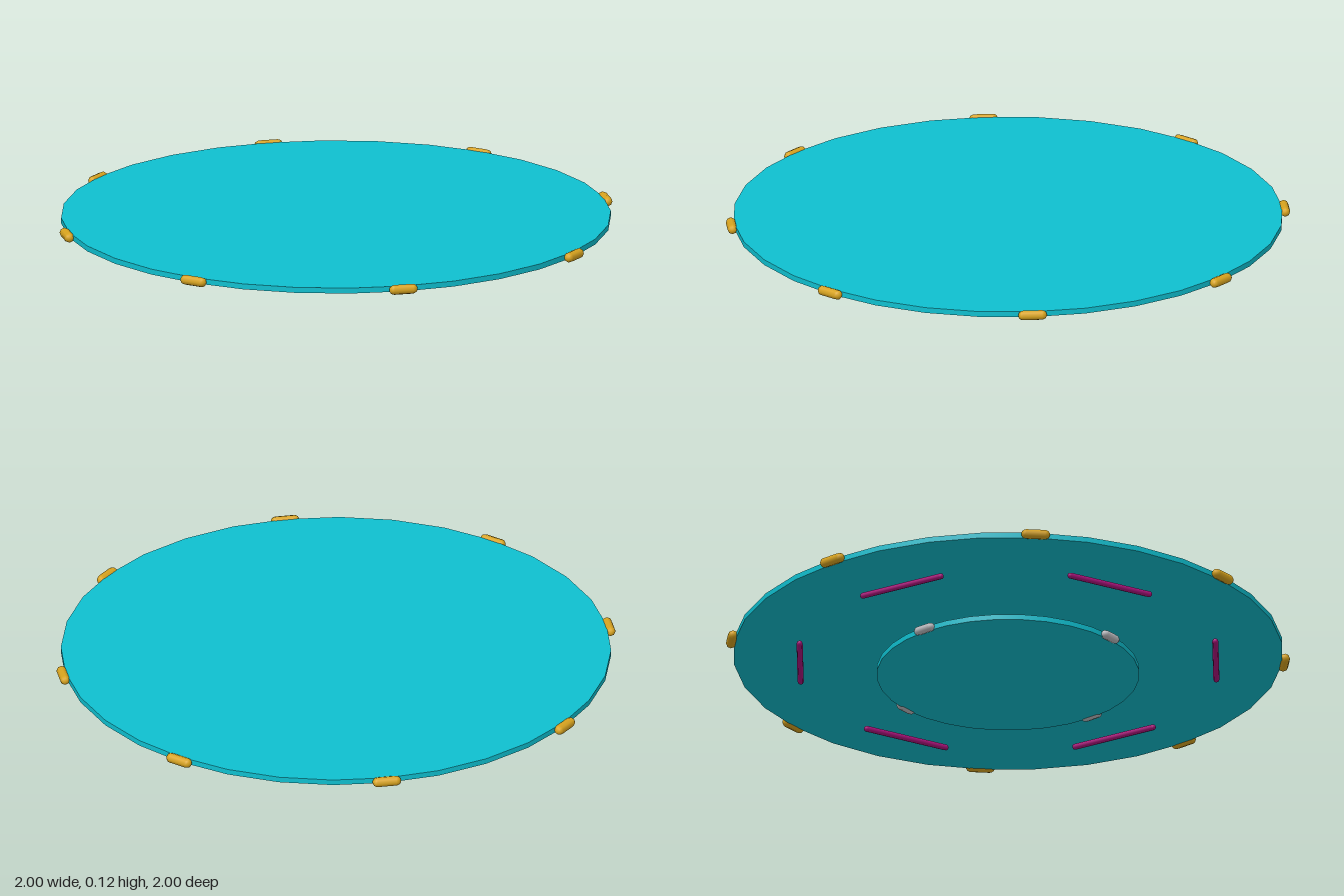
import * as THREE from 'three';

export function createModel() {
  const model = new THREE.Group();
  model.name = 'tieredDisc';

  const mat = (name, color) => {
    const m = new THREE.MeshStandardMaterial({ color });
    m.name = name;
    return m;
  };
  const teal = mat('teal', 0x0fc0d0);
  const gold = mat('gold', 0xdaa520);
  const purple = mat('purple', 0xae147e);
  const silver = mat('silver', 0xc0c0c4);

  // Flat round plate
  function disc(name, radius, thickness, y) {
    const mesh = new THREE.Mesh(new THREE.CylinderGeometry(radius, radius, thickness, 32), teal);
    mesh.name = name;
    mesh.position.y = y;
    model.add(mesh);
  }

  // Ring of round-ended bars lying along the tangent of a circle
  function barRing(name, material, { count, ring, y, radius, length, offset = 0 }) {
    const group = new THREE.Group();
    group.name = name + 's';
    const geo = new THREE.CapsuleGeometry(radius, length - 2 * radius, 4, 8);
    geo.rotateX(Math.PI / 2);
    for (let i = 0; i < count; i++) {
      const a = offset + (i / count) * Math.PI * 2;
      const bar = new THREE.Mesh(geo, material);
      bar.name = name;
      bar.position.set(Math.cos(a) * ring, y, -Math.sin(a) * ring);
      bar.rotation.y = a;
      group.add(bar);
    }
    model.add(group);
  }

  // Upper plate with eight rim clips
  disc('upperDisc', 0.973, 0.02, 0.1);
  barRing('rimClip', gold, { count: 8, ring: 0.981, y: 0.1, radius: 0.018, length: 0.102 });

  // Middle ring of six slightly turned bars
  barRing('middleBar', purple, { count: 6, ring: 0.735, y: 0.059, radius: 0.011, length: 0.34, offset: 0.15 });

  // Lower plate with four rim clips
  disc('lowerDisc', 0.465, 0.02, 0.017);
  barRing('lowerClip', silver, { count: 4, ring: 0.467, y: 0.017, radius: 0.016, length: 0.085 });

  return model;
}
